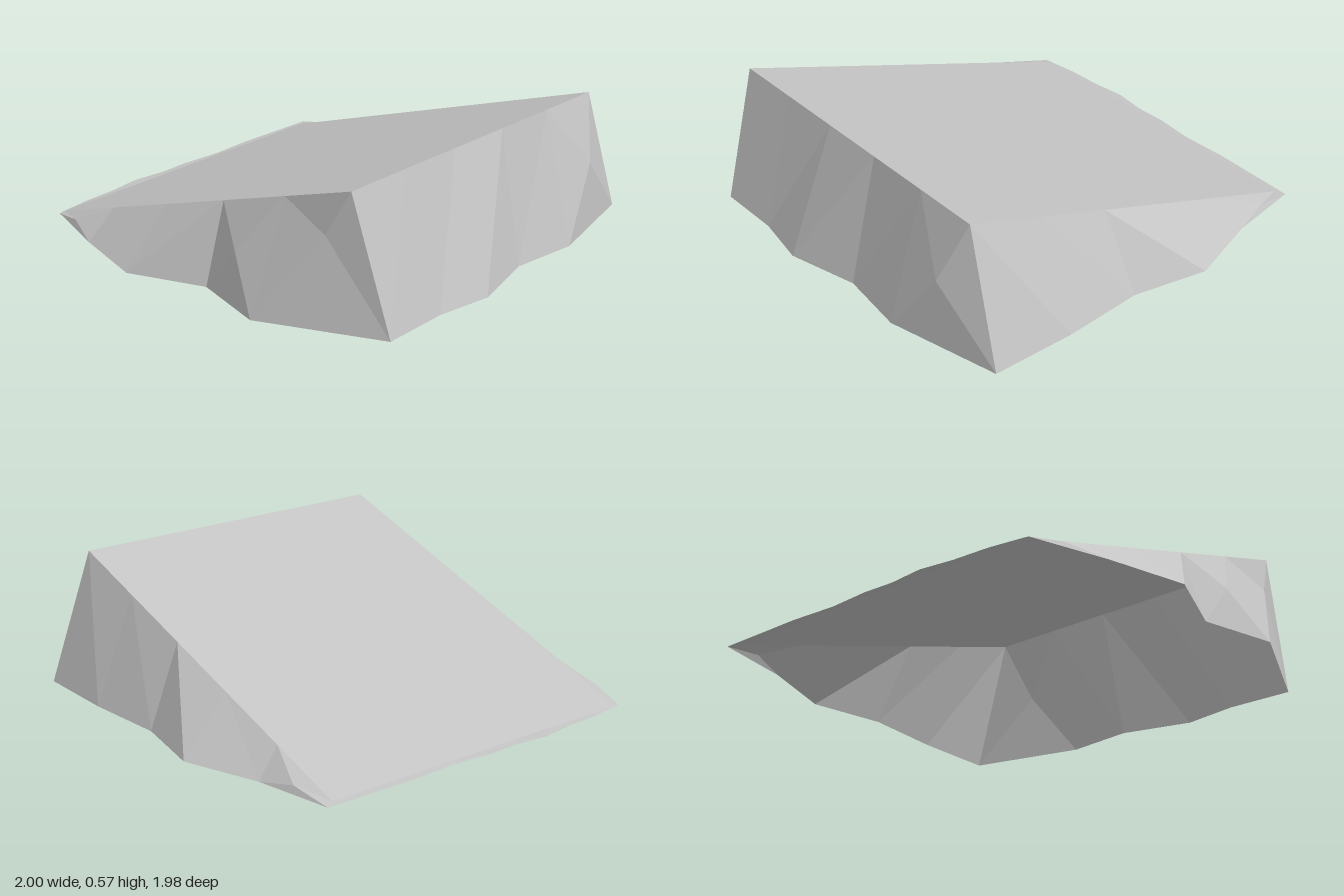
import * as THREE from 'three';

const FRONT = 0.778, BACK = -0.94, LEFT = 0.768, RIGHT = -0.763;
const rampY = z => 0.004 + 0.571 * (z - BACK) / (FRONT - BACK);

function surface(name, points, material) {
  const geometry = new THREE.BufferGeometry().setFromPoints(points);
  geometry.computeVertexNormals();
  const mesh = new THREE.Mesh(geometry, material);
  mesh.name = name;
  return mesh;
}

// Faceted rock wall between a straight top edge and a ragged foot, running
// left to right as seen from outside. Each cell fans out from a centre point
// on its rising or falling diagonal, unless a bulge replaces that point.
function rockWall(name, start, end, foot, rising, bulges, material) {
  const n = foot.length - 1;
  const top = foot.map((_, i) => {
    const t = i / n;
    const x = THREE.MathUtils.lerp(start[0], end[0], t);
    const z = THREE.MathUtils.lerp(start[1], end[1], t);
    return new THREE.Vector3(x, rampY(z), z);
  });
  const base = foot.map(([x, z]) => new THREE.Vector3(x, 0, z));
  const points = [];
  for (let i = 0; i < n; i++) {
    const [a, b] = rising ? [base[i], top[i + 1]] : [top[i], base[i + 1]];
    const centre = bulges[i] ? new THREE.Vector3(...bulges[i]) : a.clone().lerp(b, 0.5);
    const ring = [top[i], base[i], base[i + 1], top[i + 1]];
    ring.forEach((p, k) => points.push(p, ring[(k + 1) % 4], centre));
  }
  return surface(name, points, material);
}

export function createModel() {
  const group = new THREE.Group();
  group.name = 'rockRamp';
  const stone = new THREE.MeshStandardMaterial({
    color: 0xc4c4c4, flatShading: true, side: THREE.DoubleSide,
  });
  stone.name = 'stone grey';

  // Sloping top; the underside is open
  const corners = [[RIGHT, FRONT], [LEFT, FRONT], [LEFT, BACK], [RIGHT, BACK]]
    .map(([x, z]) => new THREE.Vector3(x, rampY(z), z));
  group.add(surface('rampTop', [0, 1, 2, 0, 2, 3].map(i => corners[i]), stone));

  // Tall front wall
  group.add(rockWall('frontWall', [RIGHT, FRONT], [LEFT, FRONT],
    [[-0.73, 0.95], [-0.43, 0.945], [-0.18, 0.985], [0.14, 0.9], [0.45, 0.935], [0.96, 0.81]],
    true, { 4: [0.67, 0.3, 0.87] }, stone));

  // Side walls, tapering to the back
  group.add(rockWall('leftWall', [LEFT, FRONT], [LEFT, BACK],
    [[0.96, 0.81], [0.96, 0.43], [0.93, 0.06], [0.995, -0.28], [0.875, -0.62], [0.81, -0.965]],
    false, { 4: [0.83, 0.03, -0.78] }, stone));
  group.add(rockWall('rightWall', [RIGHT, BACK], [RIGHT, FRONT],
    [[-0.79, -0.94], [-0.905, -0.6], [-1, -0.25], [-0.87, 0.09], [-0.96, 0.43], [-0.73, 0.95]],
    true, { 0: [-0.83, 0.03, -0.78], 3: [-0.87, 0.21, 0.26], 4: [-0.8, 0.38, 0.68] }, stone));

  // Thin ragged lip at the low end
  group.add(rockWall('backLip', [LEFT, BACK], [RIGHT, BACK],
    [[0.81, -0.965], [0.4, -0.975], [0.19, -0.965], [0, -0.98], [-0.14, -0.975],
      [-0.3, -0.992], [-0.45, -0.972], [-0.62, -0.965], [-0.79, -0.94]],
    true, {}, stone));

  return group;
}
